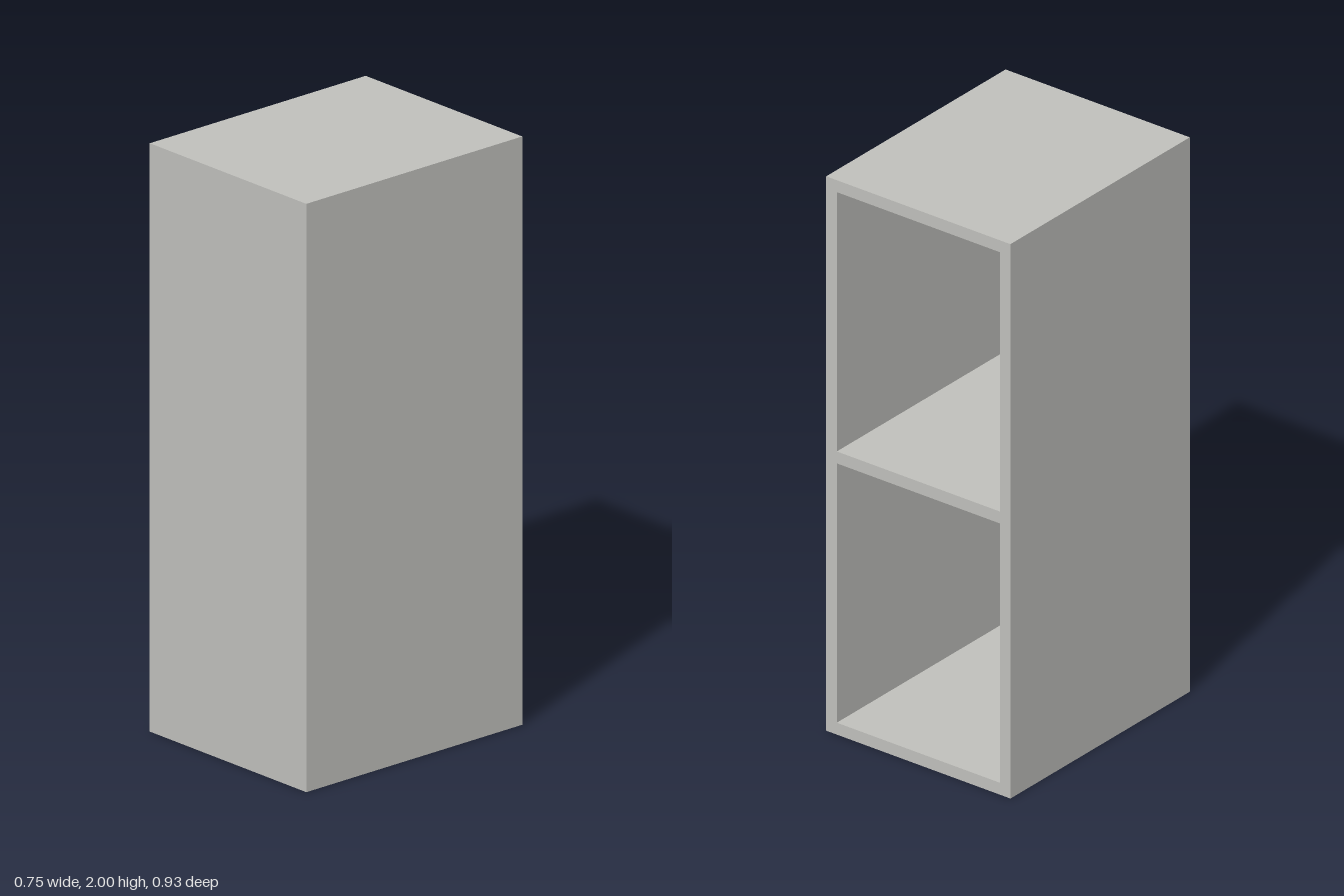
import * as THREE from 'three';

const W = 0.747, H = 2, D = 0.925; // overall size
const T = 0.043;                   // board thickness
const P = 0.008;                   // closing panel thickness

// Trace an axis-aligned rectangle onto a shape or path
function rect(path, x0, y0, x1, y1) {
  path.moveTo(x0, y0);
  path.lineTo(x1, y0);
  path.lineTo(x1, y1);
  path.lineTo(x0, y1);
  path.closePath();
  return path;
}

export function createModel() {
  const group = new THREE.Group();
  group.name = 'cabinet';
  const board = new THREE.MeshStandardMaterial({ color: 0xc0c0bc });
  board.name = 'warm grey board';

  // Sides, top, bottom and middle shelf: one frame with two equal bays
  const outline = rect(new THREE.Shape(), -W / 2, 0, W / 2, H);
  const bay = (H - 3 * T) / 2;
  for (let i = 0; i < 2; i++) {
    const y = T + i * (bay + T);
    outline.holes.push(rect(new THREE.Path(), -W / 2 + T, y, W / 2 - T, y + bay));
  }
  const frame = new THREE.Mesh(
    new THREE.ExtrudeGeometry(outline, { depth: D - P, bevelEnabled: false }), board);
  frame.name = 'frameWithShelf';
  frame.position.z = -D / 2;
  group.add(frame);

  // Thin panel closing the front; the bays open to the back
  const panel = new THREE.Mesh(new THREE.BoxGeometry(W, H, P), board);
  panel.name = 'frontPanel';
  panel.position.set(0, H / 2, D / 2 - P / 2);
  group.add(panel);

  return group;
}
